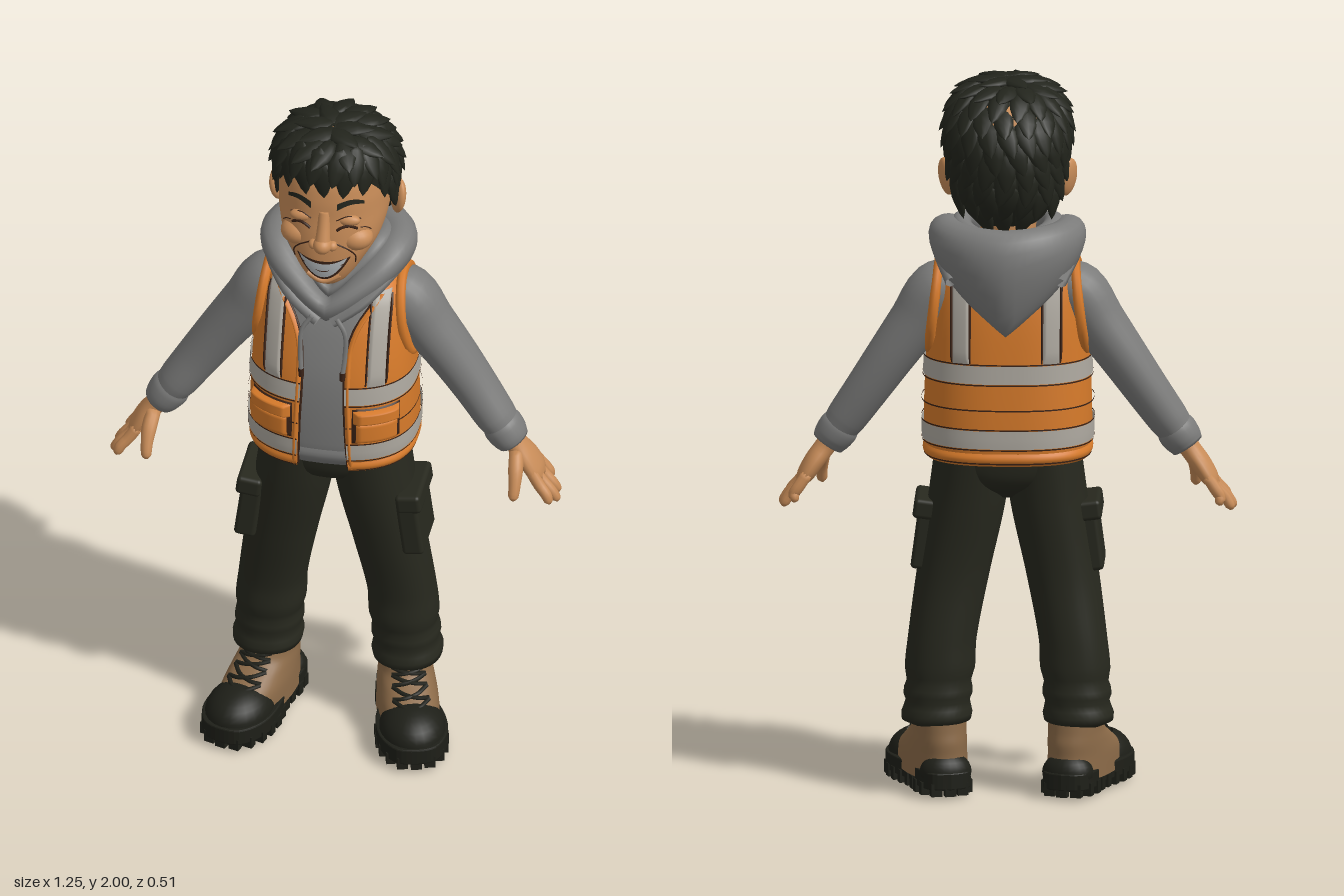
import * as THREE from 'three';
import { mergeGeometries, mergeVertices } from 'three/addons/utils/BufferGeometryUtils.js';
import { RoundedBoxGeometry } from 'three/addons/geometries/RoundedBoxGeometry.js';

const PI = Math.PI;
const paint = (name, color, side = THREE.DoubleSide) => Object.assign(new THREE.MeshStandardMaterial({ color, side }), { name });
const M = {
  skin: paint('skin', 0xc88c58), hair: paint('hair', 0x22241c), hoodie: paint('hoodie grey', 0x7b7b7a),
  vest: paint('vest orange', 0xd67a2a), tape: paint('reflective tape', 0xaea9a0), cloth: paint('trousers', 0x27281e),
  boot: paint('boot leather', 0x8b6a48), sole: paint('rubber', 0x1e1f18), teeth: paint('teeth', 0xb2b7ba), line: paint('dark line', 0x3a2216),
};

// Smooth lookup in rows [key, a, b, ...]
function at(rows, k) {
  k = Math.min(Math.max(k, rows[0][0]), rows.at(-1)[0]);
  let i = 0;
  while (i < rows.length - 2 && k > rows[i + 1][0]) i++;
  const slope = (j, c) => {
    const a = rows[Math.max(j - 1, 0)], b = rows[Math.min(j + 1, rows.length - 1)];
    return (b[c] - a[c]) / (b[0] - a[0]);
  };
  const p = rows[i], q = rows[i + 1], h = q[0] - p[0], t = (k - p[0]) / h, t2 = t * t, t3 = t2 * t;
  return p.slice(1).map((_, c) => (2 * t3 - 3 * t2 + 1) * p[c + 1] + (t3 - 2 * t2 + t) * h * slope(i, c + 1)
    + (3 * t2 - 2 * t3) * q[c + 1] + (t3 - t2) * h * slope(i + 1, c + 1));
}
// Grid surface from a function (u, v) => [x, y, z]
function grid(fn, nu, nv) {
  const pos = [], idx = [];
  for (let j = 0; j <= nv; j++) for (let i = 0; i <= nu; i++) pos.push(...fn(i / nu, j / nv));
  for (let j = 0; j < nv; j++) for (let i = 0; i < nu; i++) {
    const a = j * (nu + 1) + i, d = a + nu + 1;
    idx.push(a, a + 1, d + 1, a, d + 1, d);
  }
  let g = new THREE.BufferGeometry();
  g.setAttribute('position', new THREE.Float32BufferAttribute(pos, 3));
  g.setIndex(idx);
  g = mergeVertices(g, 1e-5);
  g.computeVertexNormals();
  return g;
}
// Stacked horizontal rings: rows are [y, cx, cz, rx, rz]; angle 0 is the front
const sp = (v, n) => Math.sign(v) * Math.abs(v) ** (2 / n);
const ringPoint = (rows, n = 2) => (y, th, off = 0) => {
  const [cx, cz, rx, rz] = at(rows, y);
  return [cx + (rx + off) * sp(Math.sin(th), n), y, cz + (rz + off) * sp(Math.cos(th), n)];
};
const stack = (rows, n = 2, nv = 28, nu = 36) => {
  const f = ringPoint(rows, n), y0 = rows[0][0], y1 = rows.at(-1)[0];
  return grid((u, v) => f(y0 + (y1 - y0) * v, u * 2 * PI), nu, nv);
};
// Rings along a bent path: rows are [x, y, z, ra, rb]
function limb(rows, nv = 18, nu = 18) {
  const curve = new THREE.CatmullRomCurve3(rows.map(r => new THREE.Vector3(...r)));
  const radii = rows.map((r, i) => [i / (rows.length - 1), r[3], r[4] ?? r[3]]);
  return grid((u, v) => {
    const t = Math.min(Math.max((v * (nv + 2) - 1) / nv, 0), 1), end = v === 0 || v === 1 ? 0 : 1;
    const T = curve.getTangent(t), N = new THREE.Vector3(0, 0, 1).cross(T).normalize(), B = T.clone().cross(N);
    const [ra, rb] = at(radii, t), a = u * 2 * PI;
    return curve.getPoint(t).addScaledVector(N, end * ra * Math.cos(a)).addScaledVector(B, end * rb * Math.sin(a)).toArray();
  }, nu, nv + 2);
}
const tube = (pts, r) => new THREE.TubeGeometry(new THREE.CatmullRomCurve3(pts.map(p => new THREE.Vector3(...p))), 16, r, 6);
const ball = (p, s) => new THREE.SphereGeometry(1, 24, 16).scale(...s).translate(...p);

export function createModel() {
  const root = new THREE.Group();
  root.name = 'worker';
  const add = (name, mat, geo) => {
    const m = new THREE.Mesh(geo, mat);
    m.name = name;
    root.add(m);
  };
  // Left part plus its mirror image
  const pair = (name, mat, geo) => {
    add('left ' + name, mat, geo);
    const g = mergeVertices(geo.clone()).applyMatrix4(new THREE.Matrix4().makeScale(-1, 1, 1)), ix = g.index.array;
    for (let i = 0; i < ix.length; i += 3) [ix[i], ix[i + 1]] = [ix[i + 1], ix[i]];
    add('right ' + name, mat, g);
  };

  // Trousers, ankle folds and cargo pockets
  add('trouser seat', M.cloth, stack([[.82, 0, 0, .04, .06], [.86, 0, 0, .15, .12], [.92, 0, 0, .2, .14], [1.02, 0, 0, .2, .14]], 2.3));
  pair('trouser leg', M.cloth, stack([[.18, .195, -.035, .06, .06], [.19, .195, -.035, .09, .097], [.22, .193, -.035, .097, .104], [.245, .191, -.035, .087, .094],
    [.275, .19, -.034, .096, .1], [.3, .188, -.033, .088, .094], [.34, .185, -.03, .096, .099], [.42, .179, -.028, .094, .097],
    [.6, .15, -.008, .1, .106], [.8, .113, .003, .107, .126], [.95, .095, .004, .105, .138]], 2.2, 44));
  const box = (w, h, d, x, y, z) => new RoundedBoxGeometry(w, h, d, 3, .012).rotateZ(.13).translate(x, y, z);
  pair('cargo pocket', M.cloth, box(.06, .17, .17, .225, .7, .02));
  pair('cargo flap', M.cloth, box(.07, .055, .185, .222, .785, .02));

  // Boots, toed outward
  const place = g => g.rotateY(.3).translate(.185, 0, -.04);
  const bootRows = [[.04, 0, .08, .085, .185], [.1, 0, .07, .083, .165], [.14, 0, .035, .077, .13], [.17, 0, .01, .072, .1], [.23, 0, 0, .07, .085]];
  const bootAt = ringPoint(bootRows, 2.2);
  pair('boot upper', M.boot, place(stack(bootRows, 2.2)));
  const outline = new THREE.Shape();
  outline.moveTo(0, -.115);
  outline.splineThru([[.05, -.1], [.07, -.04], [.07, .04], [.092, .14], [.09, .22], [.055, .285], [0, .3], [-.055, .285],
    [-.09, .22], [-.092, .14], [-.07, .04], [-.07, -.04], [-.05, -.1], [0, -.115]].map(p => new THREE.Vector2(...p)));
  const sole = new THREE.ExtrudeGeometry(outline, { depth: .04, bevelSize: .004, bevelThickness: .004, bevelSegments: 2, curveSegments: 4 });
  pair('boot sole', M.sole, place(sole.rotateX(PI / 2).translate(0, .062, 0)));
  const lugs = outline.getSpacedPoints(24).slice(1).map(p => new THREE.BoxGeometry(.03, .036, .024).translate(p.x * .9, .018, .09 + (p.y - .09) * .95));
  pair('sole lugs', M.sole, place(mergeGeometries(lugs)));
  pair('toe cap', M.sole, place(ball([0, .062, .187], [.091, .072, .11])));
  pair('heel guard', M.sole, place(ball([0, .06, -.06], [.072, .055, .055])));
  const laces = [.125, .145, .165, .185].flatMap((y, i) => [-1, 1].map(s =>
    tube([-.6, -.2, .2, .6].map((a, k) => bootAt(y + s * (k - 1.5) * .006, a, .005)), .006)));
  pair('laces', M.sole, place(mergeGeometries(laces)));

  // Hoodie body and open vest share one torso surface
  const torso = [[.94, 0, 0, .222, .187], [1, 0, .005, .23, .197], [1.2, 0, .005, .225, .187], [1.35, 0, -.008, .215, .16],
    [1.45, 0, -.02, .195, .125], [1.5, 0, -.025, .15, .1], [1.54, 0, -.03, .08, .07]];
  const N = 2.5, body = ringPoint(torso, N);
  const angleAt = (x, y) => Math.asin(Math.min(1, x / at(torso, y)[2]) ** (N / 2));
  const edge = y => at([[.94, .07], [1.3, .06], [1.38, .08], [1.48, .14], [1.54, .12]], y)[0];
  add('hoodie body', M.hoodie, grid((u, v) => body(.945 + .59 * v, u * 2 * PI, v === 0 ? -.08 : -.014), 40, 24));
  add('hoodie hem', M.hoodie, grid((u, v) => body(.945 + .055 * v, u * 2 * PI, -.014 + .008 * Math.sin(v * PI)), 40, 6));
  const wrap = (y0, y1, off, nv = 4) => grid((u, v) => {
    const y = y0 + (y1 - y0) * v, a = angleAt(edge(y), y);
    return body(y, a + (2 * PI - 2 * a) * u, off);
  }, 60, nv);
  add('vest', M.vest, wrap(.94, 1.54, 0, 30));
  for (const y of [.985, 1.165]) add('tape band', M.tape, wrap(y, y + .05, .006));
  for (const y of [.941, .98, 1.036, 1.09, 1.16, 1.216]) add('vest seam', M.line, wrap(y, y + .004, .007, 1));
  add('vest waist roll', M.vest, grid((u, v) => {
    const y = .935 + .035 * v, a = angleAt(edge(y), y);
    return body(y, a + (2 * PI - 2 * a) * u, .009 * Math.sin(v * PI));
  }, 60, 6));
  // Patch on the front or back of the torso, raised in the middle
  const pad = (x0, x1, y0, y1, off, back = false) => grid((u, v) => {
    const y = y0 + (y1 - y0) * v, a = angleAt(x0 + (x1 - x0) * u, y);
    const lift = off * Math.min(1, .3 + 8 * Math.min(u, 1 - u, v, 1 - v));
    return body(y, back ? PI - a : a, lift);
  }, 12, 14);
  pair('front tape', M.tape, pad(.12, .165, 1.215, 1.47, .008));
  pair('back tape', M.tape, pad(.1, .145, 1.215, 1.47, .008, true));
  for (const x of [.114, .165]) pair('front tape seam', M.line, pad(x, x + .004, 1.22, 1.46, .008));
  for (const x of [.095, .145]) pair('back tape seam', M.line, pad(x, x + .004, 1.22, 1.46, .008, true));
  pair('pocket outline', M.line, pad(.082, .2, 1.042, 1.152, .012));
  pair('pocket', M.vest, pad(.087, .195, 1.046, 1.112, .018));
  pair('pocket flap', M.vest, pad(.085, .197, 1.108, 1.148, .024));
  pair('vest front edge', M.vest, grid((u, v) => {
    const y = .945 + .52 * v, x = edge(y) + .016 * u;
    return body(y, angleAt(x, y), .008 * Math.sin(u * PI));
  }, 6, 24));
  pair('vest edge line', M.line, tube([.945, 1.1, 1.25, 1.36, 1.45].map(y => body(y, angleAt(edge(y), y), -.002)), .004));
  pair('armhole rim', M.vest, new THREE.TorusGeometry(.1, .014, 8, 36).scale(1, 1.25, 1).rotateY(PI / 2).rotateZ(.12).translate(.2, 1.36, -.025));

  // Sleeves and cuffs
  pair('sleeve', M.hoodie, limb([[.13, 1.44, -.035, .05, .06], [.19, 1.4, -.035, .078, .085], [.25, 1.31, -.035, .074, .08], [.32, 1.21, -.035, .067, .073],
    [.385, 1.115, -.03, .061, .066], [.44, 1.035, -.02, .056, .062], [.462, 1.005, -.018, .05, .056]], 24, 24));
  pair('cuff', M.hoodie, limb([[.45, 1.02, -.018, .05, .055], [.462, 1.003, -.017, .056, .06], [.48, .978, -.015, .053, .058], [.492, .96, -.015, .046, .05]], 10, 24));

  // Hands
  pair('palm', M.skin, limb([[.475, .985, -.015, .03, .036], [.5, .95, -.015, .029, .037], [.528, .912, -.018, .028, .05],
    [.553, .873, -.02, .024, .054], [.568, .85, -.02, .014, .045]], 14, 20));
  [[-.066, .582, .81], [-.033, .61, .79], [.002, .615, .787], [.034, .6, .8]].forEach(([z, x, y], i) =>
    pair('finger ' + (i + 1), M.skin, limb([[.548, .88, z * .75 - .008, .016], [.572, .845, z * .9 - .005, .0165], [(x + .572) / 2 + .006, (y + .845) / 2, z, .0155],
      [x, y + .005, z * 1.1, .013], [x + .003, y - .004, z * 1.1, .005]], 12, 10)));
  pair('thumb', M.skin, limb([[.505, .935, .01, .02], [.51, .905, .045, .021], [.512, .87, .07, .017], [.511, .838, .085, .014], [.51, .828, .088, .005]], 12, 12));

  // Hood: soft collar at the front, hanging bag at the back
  const hoodRows = [[0, 1.435, .135, .035, .028], [.7, 1.49, .13, .045, .035], [1.5, 1.545, .16, .055, .045], [2.3, 1.515, .185, .09, .055], [PI, 1.45, .195, .15, .058]];
  const hood = (shrink, lift) => grid((u, v) => {
    const a = u * 2 * PI, [y, r, h, t] = at(hoodRows, a > PI ? 2 * PI - a : a), b = -v * 2 * PI;
    const R = r - (1 - shrink) * .09 + t * shrink * Math.cos(b) * (1 - .3 * Math.sin(b));
    return [R * Math.sin(a), y + lift + h * shrink * Math.sin(-b) * 1, R * Math.cos(a)];
  }, 56, 20);
  add('hood', M.hoodie, hood(1, 0));
  add('hood inner rim', M.hoodie, hood(.55, .035));
  pair('hood fold', M.hoodie, tube([[.02, 1.41, .155], [.1, 1.465, .125], [.165, 1.52, .05], [.19, 1.52, -.05], [.15, 1.45, -.18]], .016));
  pair('drawstring', M.hoodie, tube([[.035, 1.43, .165], [.06, 1.39, .175], [.062, 1.32, .185], [.058, 1.27, .197]], .007));
  pair('drawstring tip', M.line, tube([[.058, 1.275, .197], [.057, 1.25, .199]], .008));

  // Neck and head
  add('neck', M.skin, limb([[0, 1.4, 0, .085, .075], [0, 1.5, .015, .075, .07], [0, 1.64, .02, .08, .08]]));
  const headRows = [[1.532, 0, .115, .004, .004], [1.54, 0, .112, .04, .045], [1.565, 0, .097, .07, .077], [1.61, 0, .067, .103, .117], [1.66, 0, .04, .133, .143],
    [1.71, 0, .015, .148, .163], [1.76, 0, 0, .153, .17], [1.82, 0, -.01, .154, .173], [1.88, 0, -.015, .145, .16], [1.93, 0, -.02, .11, .12], [1.96, 0, -.02, .01, .01]];
  add('head', M.skin, stack(headRows, 2.2, 40, 48));
  const onFace = (x, y, off = 0) => {
    const [, cz, rx, rz] = at(headRows, y);
    return [x, y, cz + off + rz * Math.max(0, 1 - (Math.abs(x) / rx) ** 2.2) ** (1 / 2.2)];
  };
  const faceLine = (pts, r) => tube(pts.map(p => onFace(...p)), r);
  pair('cheek', M.skin, ball([.078, 1.69, .125], [.05, .038, .045]));
  add('nose', M.skin, ball([0, 1.692, .188], [.026, .024, .03]));
  add('nose bridge', M.skin, limb([[0, 1.785, .158, .016, .014], [0, 1.74, .172, .018, .018], [0, 1.695, .188, .022, .022]]));
  pair('nostril', M.skin, ball([.025, 1.687, .178], [.016, .015, .018]));
  pair('ear', M.skin, ball([0, 0, 0], [.018, .053, .036]).rotateY(.5).rotateZ(-.15).translate(.166, 1.717, -.045));
  pair('ear hollow', M.line, ball([0, 0, 0], [.004, .026, .014]).rotateY(.2).translate(.181, 1.722, -.036));
  // Wide grin, closed eyes, brows and smile lines
  const grin = (w, top, low, off) => grid((u, v) => {
    const s = u * 2 - 1, y0 = low + (1.647 - low) * s * s, y1 = top + (1.65 - top) * s * s;
    return onFace(s * w, y0 + (y1 - y0) * v, off);
  }, 20, 6);
  add('mouth', M.line, grin(.074, 1.637, 1.573, .005));
  add('teeth', M.teeth, grin(.066, 1.631, 1.584, .009));
  add('bite line', M.line, faceLine([[-.055, 1.63, .009], [0, 1.606, .009], [.055, 1.63, .009]], .0015));
  add('lower lip', M.skin, faceLine([[-.045, 1.583, .003], [0, 1.564, .004], [.045, 1.583, .003]], .007));
  pair('closed eye', M.line, faceLine([[.037, 1.737, .006], [.05, 1.747, .009], [.068, 1.75, .009], [.09, 1.737, .006]], .004));
  pair('upper lid', M.skin, ball(onFace(.064, 1.76, -.008), [.034, .017, .018]));
  pair('eyelid fold', M.line, faceLine([[.035, 1.765, .003], [.065, 1.777, .004], [.098, 1.762, .003]], .0015));
  pair('brow', M.hair, grid((u, v) => onFace(.036 + .07 * u, 1.798 + .016 * Math.sin(u * 2.6) + .02 * (1 - .5 * u) * v, .006), 10, 3));
  pair('smile line', M.line, faceLine([[.036, 1.695, .004], [.07, 1.672, .004], [.086, 1.645, .003], [.084, 1.62, .002]], .002));
  pair('eye crease', M.line, faceLine([[.098, 1.735, .002], [.112, 1.728, .002], [.122, 1.715, .002]], .0015));

  // Hair cap with overlapping leaf-shaped locks
  const hairRows = [[1.58, 0, -.06, .09, .06], [1.64, 0, -.066, .13, .09], [1.7, 0, -.045, .152, .14], [1.78, 0, -.025, .16, .172], [1.86, 0, -.018, .163, .17],
    [1.92, 0, .005, .143, .148], [1.96, 0, .02, .095, .105], [1.982, 0, .03, .004, .004]];
  const hairAt = ringPoint(hairRows, 2.1);
  const hairline = th => at([[0, 1.875], [.7, 1.865], [1.1, 1.8], [1.45, 1.74], [1.8, 1.72], [2.2, 1.615], [PI, 1.595]], th > PI ? 2 * PI - th : th)[0];
  add('hair cap', M.hair, grid((u, v) => {
    const th = u * 2 * PI, y0 = hairline(th);
    return hairAt(y0 + (1.982 - y0) * v, th);
  }, 56, 24));
  const leaf = new THREE.LatheGeometry([[0, -.062], [.014, -.045], [.027, -.015], [.03, .012], [.02, .04], [0, .052]].map(p => new THREE.Vector2(...p)), 10).scale(1, 1, .42);
  const V = p => new THREE.Vector3(...p), locks = [];
  [1.63, 1.675, 1.72, 1.765, 1.81, 1.855, 1.895, 1.93, 1.955, 1.972].forEach((y, row) => {
    const n = Math.max(4, Math.round(2 * PI * at(hairRows, y)[2] / .054));
    for (let i = 0; i < n; i++) {
      const th = (i + (row % 2) / 2 + .15 * Math.sin(i * 7 + row * 3)) / n * 2 * PI;
      if (y < hairline(th) + .02) continue;
      const p = V(hairAt(y, th)), side = V(hairAt(y, th + .02)).sub(p).normalize();
      const up = V(hairAt(y + .006, th)).sub(p).normalize(), out = side.clone().cross(up).normalize();
      const dir = out.clone().cross(side).addScaledVector(side, .35 * Math.sin(th * 2 + row)).addScaledVector(out, -.16).normalize();
      const x = dir.clone().cross(out).normalize(), m = new THREE.Matrix4().makeBasis(x, dir, x.clone().cross(dir));
      locks.push(leaf.clone().applyMatrix4(m.setPosition(p.addScaledVector(out, .002))));
    }
  });
  add('hair locks', M.hair, mergeGeometries(locks));
  return root;
}
